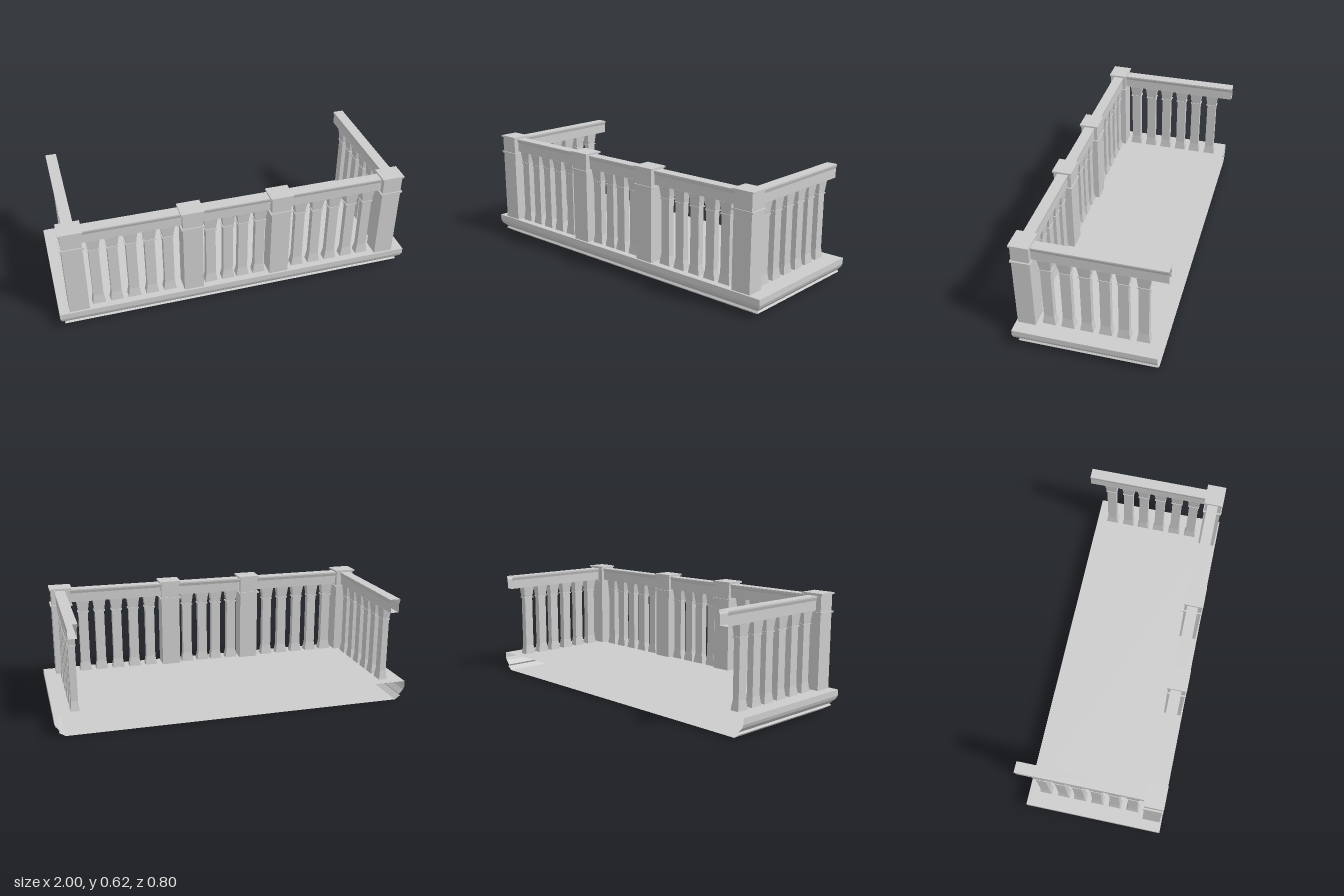
import * as THREE from 'three';

const material = new THREE.MeshStandardMaterial({ color: 0xcccccc, flatShading: true, side: THREE.DoubleSide });
const DECK_Y = 0.108, RAIL_Y = 0.535, FRONT_Z = 0.335;

function addMesh(parent, name, geometry, x = 0, y = 0, z = 0) {
  const mesh = new THREE.Mesh(geometry, material);
  mesh.name = name;
  mesh.position.set(x, y, z);
  parent.add(mesh);
  return mesh;
}

function indexed(points, index) {
  const geometry = new THREE.BufferGeometry();
  geometry.setAttribute('position', new THREE.Float32BufferAttribute(points.flat(), 3));
  geometry.setIndex(index);
  geometry.computeVertexNormals();
  return geometry;
}

// Deck: moulded on the front and both sides, open along the back
function deckGeometry() {
  const profile = [[0, 0.108], [0, 0.075], [0.007, 0.057], [0.03, 0.032], [0.023, 0.022], [0.055, 0]];
  const points = [], index = [];
  profile.forEach(([inset, y], i) => {
    const x = 1 - inset, z = 0.398 - inset;
    points.push([-x, y, -0.37], [-x, y, z], [x, y, z], [x, y, -0.37]);
    if (i === profile.length - 1) return;
    for (let k = 0; k < 3; k++) {
      const a = i * 4 + k, b = a + 4;
      index.push(a, b, b + 1, a, b + 1, a + 1);
    }
  });
  const last = (profile.length - 1) * 4;
  index.push(0, 1, 2, 0, 2, 3, last, last + 2, last + 1, last, last + 3, last + 2);
  return indexed(points, index);
}

// Handrail: hollow moulded tube along x with open ends
function railGeometry(length) {
  const half = [[0.024, RAIL_Y], [0.024, 0.587], [0.03, 0.603], [0.03, 0.611]];
  const section = [...half, ...half.slice().reverse().map(([z, y]) => [-z, y])];
  const n = section.length, points = [], index = [];
  for (const x of [-length / 2, length / 2]) for (const [z, y] of section) points.push([x, y, z]);
  for (let k = 0; k < n; k++) {
    const next = (k + 1) % n;
    index.push(k, n + next, n + k, k, next, n + next);
  }
  return indexed(points, index);
}

// Square baluster with flared foot, collar and flared capital
const balusterProfile = [
  [0.037, DECK_Y], [0.028, 0.162], [0.028, 0.466], [0.034, 0.466],
  [0.034, 0.473], [0.029, 0.473], [0.038, RAIL_Y],
].map(([r, y]) => new THREE.Vector2(r * Math.SQRT2, y));
const balusterGeometry = new THREE.LatheGeometry(balusterProfile, 4, Math.PI / 4);
balusterGeometry.scale(0.96, 1, 0.66);

function addRail(parent, name, from, to, balusters) {
  const run = new THREE.Group();
  run.name = name;
  addMesh(run, 'handrail', railGeometry(to - from), (from + to) / 2);
  for (const x of balusters) addMesh(run, 'baluster', balusterGeometry, x);
  parent.add(run);
  return run;
}

// Square post with a collar and a flat cap
function addPost(parent, x) {
  const post = new THREE.Group();
  post.name = 'post';
  post.position.set(x, 0, 0.339);
  const layers = [['shaft', 0.108, 0.097, DECK_Y, 0.616], ['collar', 0.126, 0.108, 0.518, 0.527], ['cap', 0.126, 0.108, 0.615, 0.625]];
  for (const [name, w, d, y0, y1] of layers) {
    addMesh(post, name, new THREE.BoxGeometry(w, y1 - y0, d), 0, (y0 + y1) / 2, 0);
  }
  parent.add(post);
}

export function createModel() {
  const model = new THREE.Group();
  model.name = 'balcony';
  addMesh(model, 'deck', deckGeometry());

  const posts = [-0.891, -0.258, 0.233, 0.877];
  posts.forEach((x) => addPost(model, x));

  // Front balustrade, one run between each pair of posts
  const frontBalusters = [
    [-0.78, -0.682, -0.584, -0.485, -0.386],
    [-0.152, -0.054, 0.03, 0.126],
    [0.356, 0.455, 0.555, 0.656, 0.752],
  ];
  frontBalusters.forEach((xs, i) => {
    addRail(model, 'frontBalustrade', posts[i] + 0.05, posts[i + 1] - 0.05, xs).position.z = FRONT_Z;
  });

  // Side balustrades, running back past the deck edge
  const sideBalusters = [-0.225, -0.124, -0.023, 0.077, 0.172, 0.275];
  for (const [name, x] of [['rightBalustrade', -0.891], ['leftBalustrade', 0.883]]) {
    const side = addRail(model, name, -0.292, 0.398, sideBalusters);
    side.rotation.y = Math.PI / 2;
    side.position.x = x;
  }
  return model;
}
